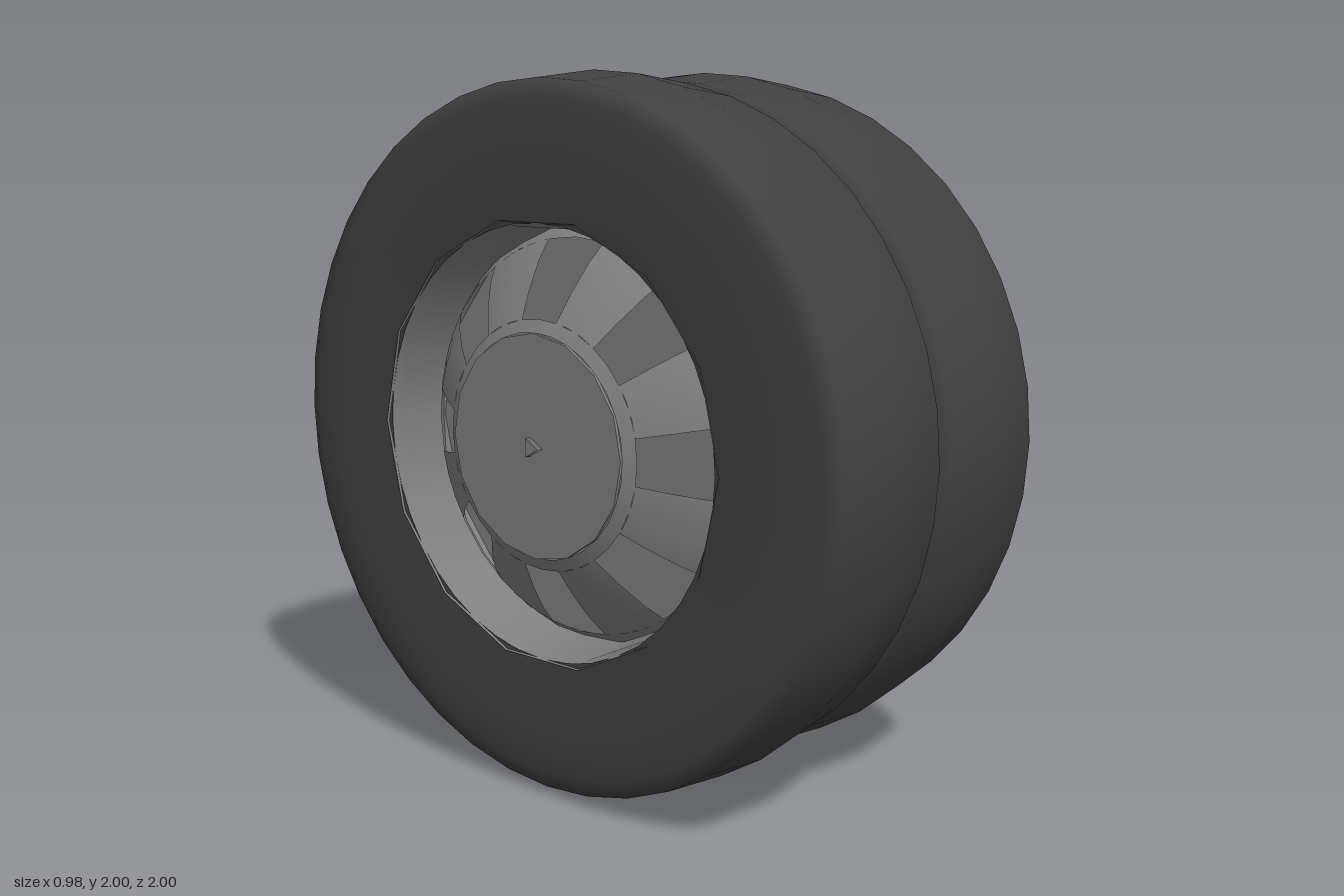
import * as THREE from 'three';

const rubber = new THREE.MeshStandardMaterial({ color: 0x404040, side: THREE.DoubleSide });
rubber.name = 'rubber';
const metal = new THREE.MeshStandardMaterial({ color: 0x808080, side: THREE.DoubleSide });
metal.name = 'metal';

const RIM_SIDES = 14;

function add(parent, geometry, material, name) {
  const mesh = new THREE.Mesh(geometry, material);
  mesh.name = name;
  parent.add(mesh);
  return mesh;
}

// Revolves [radius, x] points around the x axis
function revolve(points, segments, start = 0, length = Math.PI * 2) {
  const g = new THREE.LatheGeometry(points.map(([r, x]) => new THREE.Vector2(r, x)), segments, start, length);
  return g.rotateZ(-Math.PI / 2);
}

function polygon(path, cx, cy, r, sides, turn) {
  for (let i = 0; i < sides; i++) {
    const a = turn + (i / sides) * Math.PI * 2;
    const x = cx + Math.cos(a) * r, y = cy + Math.sin(a) * r;
    if (i === 0) path.moveTo(x, y); else path.lineTo(x, y);
  }
  path.closePath();
  return path;
}

function tire() {
  const half = [[0.6, 0.224], [0.72, 0.232], [0.85, 0.235], [0.93, 0.228], [0.977, 0.213]];
  const left = half.map(([r, x]) => [r, -x]);
  return revolve([...left, [1, 0], ...half.slice().reverse()], 40);
}

// Concave disc with a hexagonal bore and eight triangular bolt holes
function dishedWheel() {
  const g = new THREE.Group();
  g.name = 'dishedWheel';
  add(g, tire(), rubber, 'tire');
  add(g, revolve([[0.617, 0.231], [0.605, 0.19], [0.53, 0.135], [0.43, 0.075], [0.36, 0.045], [0.3, 0.04]], RIM_SIDES),
    metal, 'dish');
  const floor = polygon(new THREE.Shape(), 0, 0, 0.302, RIM_SIDES, Math.PI / 2);
  floor.holes.push(polygon(new THREE.Path(), 0, 0, 0.122, 6, Math.PI / 2 - 0.06));
  for (let i = 0; i < 8; i++) {
    const a = 1.7 + (i * Math.PI) / 4;
    floor.holes.push(polygon(new THREE.Path(), Math.cos(a) * 0.222, Math.sin(a) * 0.222, 0.032, 3, a + 0.6 + i * 0.5));
  }
  const plate = add(g, new THREE.ShapeGeometry(floor).rotateY(Math.PI / 2), metal, 'hubPlate');
  plate.position.x = 0.04;
  // Dark bore behind the holes, closed by a plate
  add(g, revolve([[0.3, 0.04], [0.3, -0.12]], RIM_SIDES), rubber, 'bore');
  add(g, revolve([[0.0, -0.12], [0.3, -0.12]], RIM_SIDES), metal, 'borePlate');
  return g;
}

// Convex disc with eight hand holes and a flat hub
function domedWheel() {
  const g = new THREE.Group();
  g.name = 'domedWheel';
  add(g, tire(), rubber, 'tire');
  add(g, revolve([[0.617, -0.231], [0.6, -0.19], [0.585, -0.02]], RIM_SIDES), metal, 'rimBarrel');
  const hub = add(g, new THREE.CylinderGeometry(0.31, 0.31, 0.01, 16).rotateZ(Math.PI / 2), metal, 'hubPlate');
  hub.position.x = -0.242;
  add(g, revolve([[0.31, -0.24], [0.345, -0.222]], 32), metal, 'domeInnerRing');
  add(g, revolve([[0.555, -0.075], [0.59, -0.03]], 32), metal, 'domeOuterRing');
  for (let i = 0; i < 8; i++) {
    const a = ((i + 0.5) * Math.PI) / 4;
    const width = 0.42;
    add(g, revolve([[0.345, -0.222], [0.42, -0.18], [0.5, -0.125], [0.555, -0.075]], 3, a - width / 2, width),
      metal, 'domeRib');
  }
  add(g, revolve([[0, -0.03], [0.59, -0.03]], RIM_SIDES), metal, 'backPlate');
  const nut = add(g, new THREE.CylinderGeometry(0.03, 0.03, 0.03, 3).rotateZ(Math.PI / 2), metal, 'centerNut');
  nut.position.x = -0.25;
  return g;
}

export function createModel() {
  const model = new THREE.Group();
  model.name = 'dualWheel';
  const outer = dishedWheel();
  outer.position.set(0.25, 1, 0);
  const inner = domedWheel();
  inner.position.set(-0.225, 1, 0);
  model.add(outer, inner);
  return model;
}
